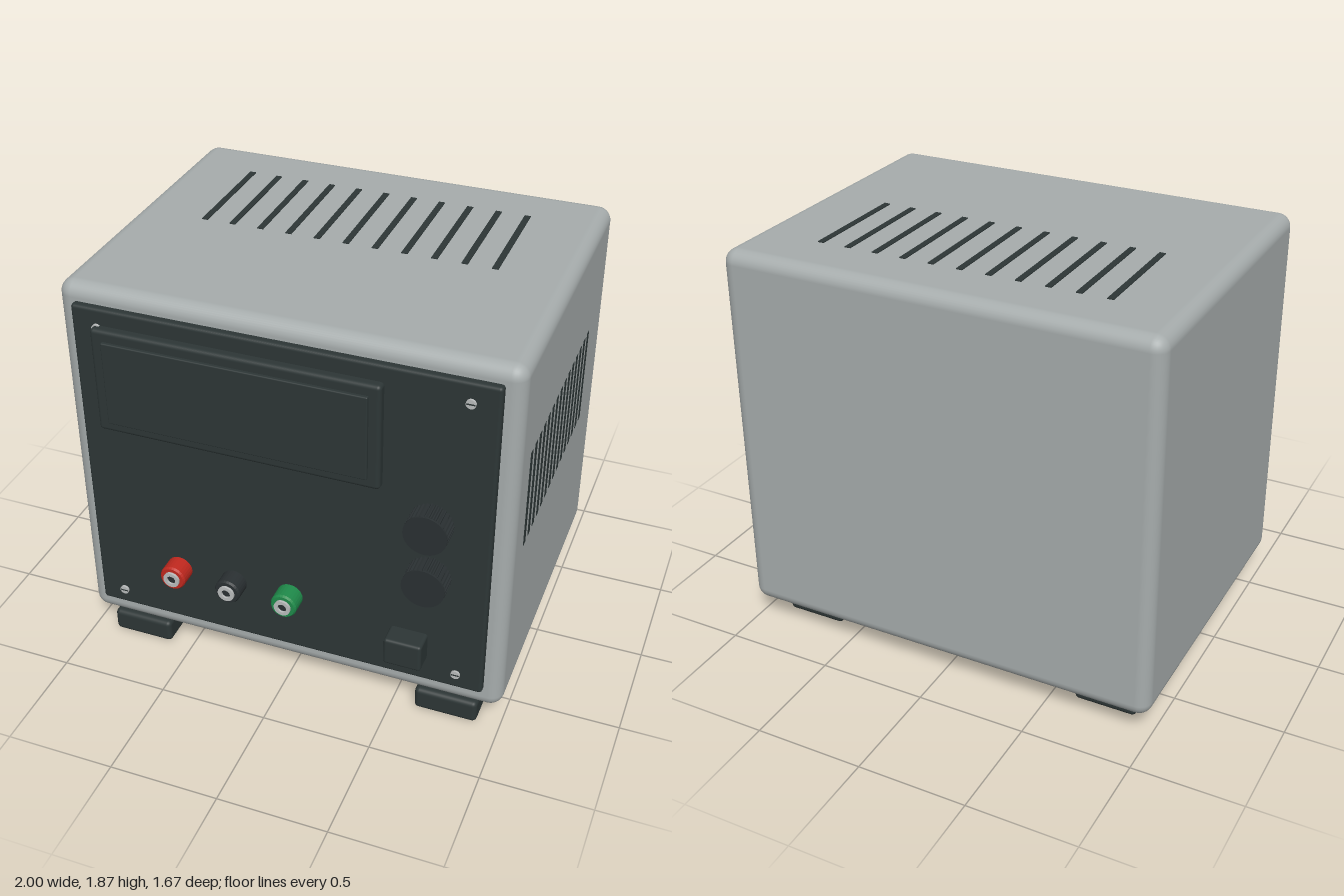
import * as THREE from 'three';
import { RoundedBoxGeometry } from 'three/addons/geometries/RoundedBoxGeometry.js';

const mat = (name, color) => {
  const m = new THREE.MeshStandardMaterial({ color });
  m.name = name;
  return m;
};

export function createModel() {
  const root = new THREE.Group();
  root.name = 'benchPowerSupply';
  const grey = mat('caseGrey', 0xa6acac);
  const dark = mat('panelDark', 0x2d3636);
  const black = mat('knobBlack', 0x2a3032);
  const red = mat('terminalRed', 0xc0281e);
  const green = mat('terminalGreen', 0x1f8a4a);
  const metal = mat('metal', 0xbabcbc);

  const add = (name, geo, material, x = 0, y = 0, z = 0, parent = root) => {
    const m = new THREE.Mesh(geo, material);
    m.name = name;
    m.position.set(x, y, z);
    parent.add(m);
    return m;
  };
  // Rounded box given by its limits on each axis
  const block = (name, material, [x0, x1], [y0, y1], [z0, z1], r) =>
    add(name, new RoundedBoxGeometry(x1 - x0, y1 - y0, z1 - z0, 4, r), material,
      (x0 + x1) / 2, (y0 + y1) / 2, (z0 + z1) / 2);
  // Cylinder along z, its back at the origin
  const disc = (r, depth, sides = 32) =>
    new THREE.CylinderGeometry(r, r, depth, sides).rotateX(Math.PI / 2).translate(0, 0, depth / 2);

  // Case and feet
  block('case', grey, [-1, 1], [0.112, 1.865], [-0.832, 0.702], 0.062);
  for (const sx of [-1, 1]) for (const sz of [-1, 1]) {
    add('foot', new RoundedBoxGeometry(0.29, 0.112, 0.268, 3, 0.022), dark, sx * 0.75, 0.056, sz * 0.566);
  }

  // Front panel, display frame and screen
  const face = 0.735;
  block('frontPanel', dark, [-0.92, 0.92], [0.22, 1.79], [0.68, face], 0.015);
  block('displayFrame', dark, [-0.82, 0.45], [1.22, 1.715], [0.715, 0.775], 0.018);
  block('displayScreen', dark, [-0.765, 0.4], [1.27, 1.665], [0.75, 0.79], 0.006);

  // Vent slots on the top and on one side
  for (let i = -5; i <= 5; i++) {
    add('topVent', new THREE.BoxGeometry(0.028, 0.008, 0.535), dark, i * 0.1332, 1.865, -0.303);
  }
  for (let i = -7; i <= 7; i++) {
    add('sideVent', new THREE.BoxGeometry(0.006, 0.47, 0.033), dark, 0.999, 1.14, i * 0.0718);
  }

  // Fluted knobs
  const flutes = new THREE.Shape();
  const teeth = 28;
  for (let i = 0; i < teeth * 4; i++) {
    const a = (i / (teeth * 4)) * Math.PI * 2;
    const r = i % 4 < 2 ? 0.095 : 0.088;
    flutes[i ? 'lineTo' : 'moveTo'](r * Math.cos(a), r * Math.sin(a));
  }
  const fluteGeo = new THREE.ExtrudeGeometry(flutes, { depth: 0.095, bevelEnabled: false });
  for (const y of [1.093, 0.818]) {
    const knob = new THREE.Group();
    knob.name = 'knob';
    knob.position.set(0.665, y, face);
    add('knobGrip', fluteGeo, black, 0, 0, 0, knob);
    add('knobCap', disc(0.094, 0.008, 48), black, 0, 0, 0.092, knob);
    root.add(knob);
  }

  // Binding terminals: coloured collar, metal sleeve and dark socket
  const collarProfile = [[0.06, 0], [0.06, 0.075], [0.054, 0.085], [0.03, 0.085]]
    .map(([r, h]) => new THREE.Vector2(r, h));
  const sleeveProfile = [[0.038, 0.08], [0.038, 0.096], [0.021, 0.096], [0.021, 0.08]]
    .map(([r, h]) => new THREE.Vector2(r, h));
  const turned = (profile) => {
    const g = new THREE.LatheGeometry(profile, 28).rotateX(Math.PI / 2).toNonIndexed();
    g.computeVertexNormals();
    return g;
  };
  for (const [name, x, m] of [['red', -0.505, red], ['black', -0.238, black], ['green', 0.03, green]]) {
    const t = new THREE.Group();
    t.name = name + 'Terminal';
    t.position.set(x, 0.514, face);
    add('collar', turned(collarProfile), m, 0, 0, 0, t);
    add('sleeve', turned(sleeveProfile), metal, 0, 0, 0, t);
    add('socket', disc(0.022, 0.086), black, 0, 0, 0, t);
    root.add(t);
  }

  // Power switch
  block('powerSwitch', dark, [0.498, 0.668], [0.35, 0.486], [0.72, 0.832], 0.014);

  // Slotted panel screws
  for (const x of [-0.803, 0.8]) for (const y of [0.3, 1.7]) {
    const s = new THREE.Group();
    s.name = 'screw';
    s.position.set(x, y, face);
    add('screwHead', disc(0.021, 0.01, 20), metal, 0, 0, 0, s);
    add('screwSlot', new THREE.BoxGeometry(0.036, 0.006, 0.004), dark, 0, 0, 0.009, s);
    root.add(s);
  }
  return root;
}
